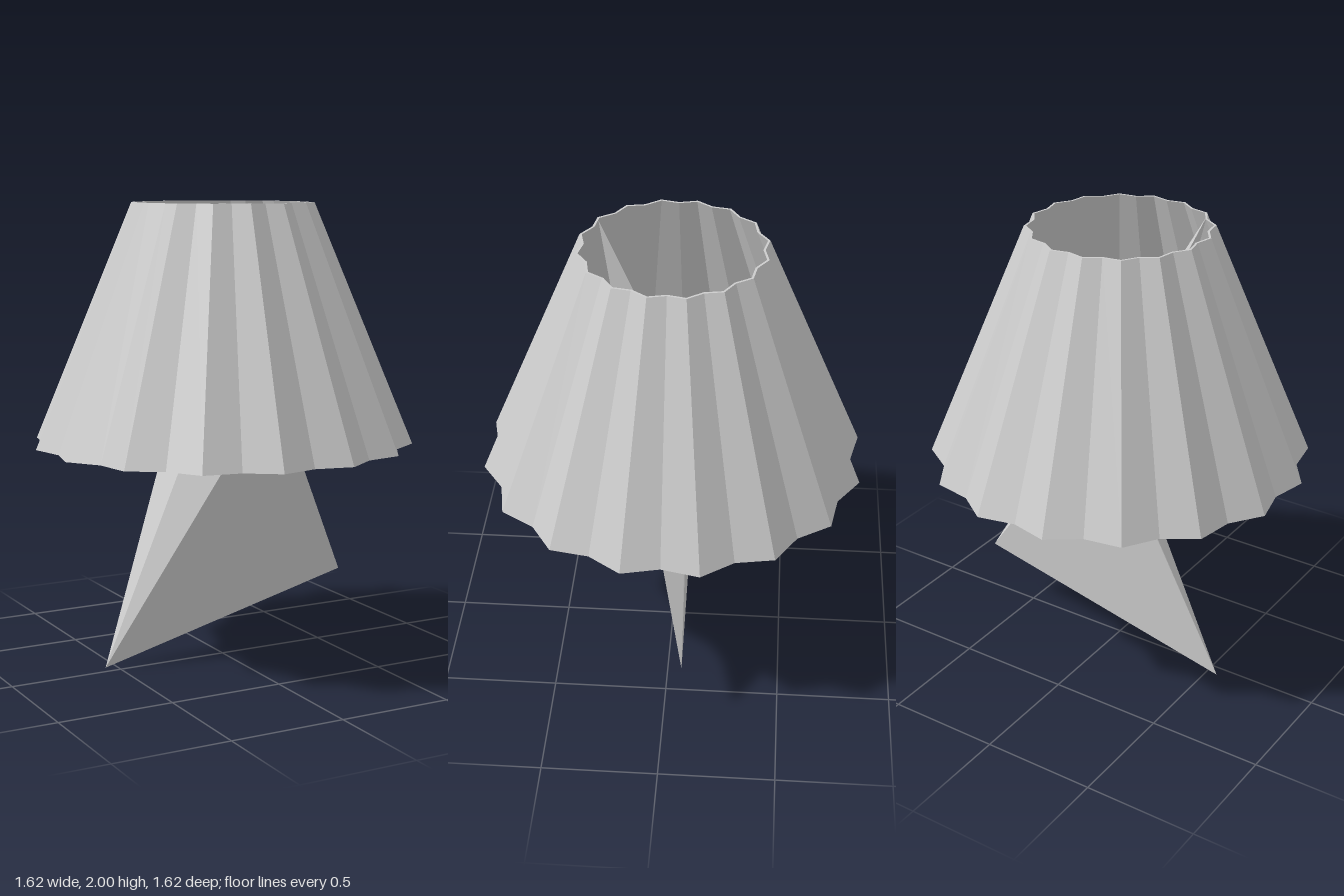
import * as THREE from 'three';

// Split faces so every facet has its own flat normal
function faceted(geometry) {
  const flat = geometry.index ? geometry.toNonIndexed() : geometry;
  flat.computeVertexNormals();
  return flat;
}

// Pleated shade: thin-walled cone whose alternate corners are pulled inward
function pleatedShade() {
  const pleats = 16, wall = 0.01;
  const profile = [
    [0.826, 0.965], [0.394, 2], [0.394 - wall, 2], [0.826 - wall, 0.965], [0.826, 0.965],
  ].map(([r, y]) => new THREE.Vector2(r, y));
  const geometry = new THREE.LatheGeometry(profile, pleats * 2);
  const pos = geometry.attributes.position;
  for (let i = 0; i < pos.count; i++) {
    const column = Math.floor(i / profile.length);
    if (column % 2 === 0) pos.setXYZ(i, pos.getX(i) * 0.937, pos.getY(i), pos.getZ(i) * 0.937);
  }
  return faceted(geometry);
}

// Folded base: a low keel edge twisting into two crossed upper fins
function foldedBase() {
  const corner = {
    a: [-0.55, 0, -0.05],    // keel, low end
    b: [0.66, 0.295, -0.08], // keel, raised end
    c: [0.21, 1.985, -0.338],// back fin tip
    d: [-0.22, 1.985, 0.325],// front fin tip
    p: [-0.04, 0.835, 0.07], // front dent
    q: [0.05, 1.17, -0.075], // back dent
    m: [0, 1.26, -0.06],     // saddle between the fins
  };
  const faces = ['abp', 'pbd', 'baq', 'qac', 'cam', 'apm', 'pdm', 'dbm', 'bqm', 'qcm'];
  const points = faces.flatMap((face) => [...face].flatMap((key) => corner[key]));
  const geometry = new THREE.BufferGeometry();
  geometry.setAttribute('position', new THREE.Float32BufferAttribute(points, 3));
  return faceted(geometry);
}

export function createModel() {
  const group = new THREE.Group();
  group.name = 'tableLamp';
  const grey = new THREE.MeshStandardMaterial({
    name: 'lightGrey', color: 0xcccccc, flatShading: true, side: THREE.DoubleSide,
  });
  const shade = new THREE.Mesh(pleatedShade(), grey);
  shade.name = 'pleatedShade';
  const base = new THREE.Mesh(foldedBase(), grey);
  base.name = 'foldedBase';
  group.add(shade, base);
  return group;
}
